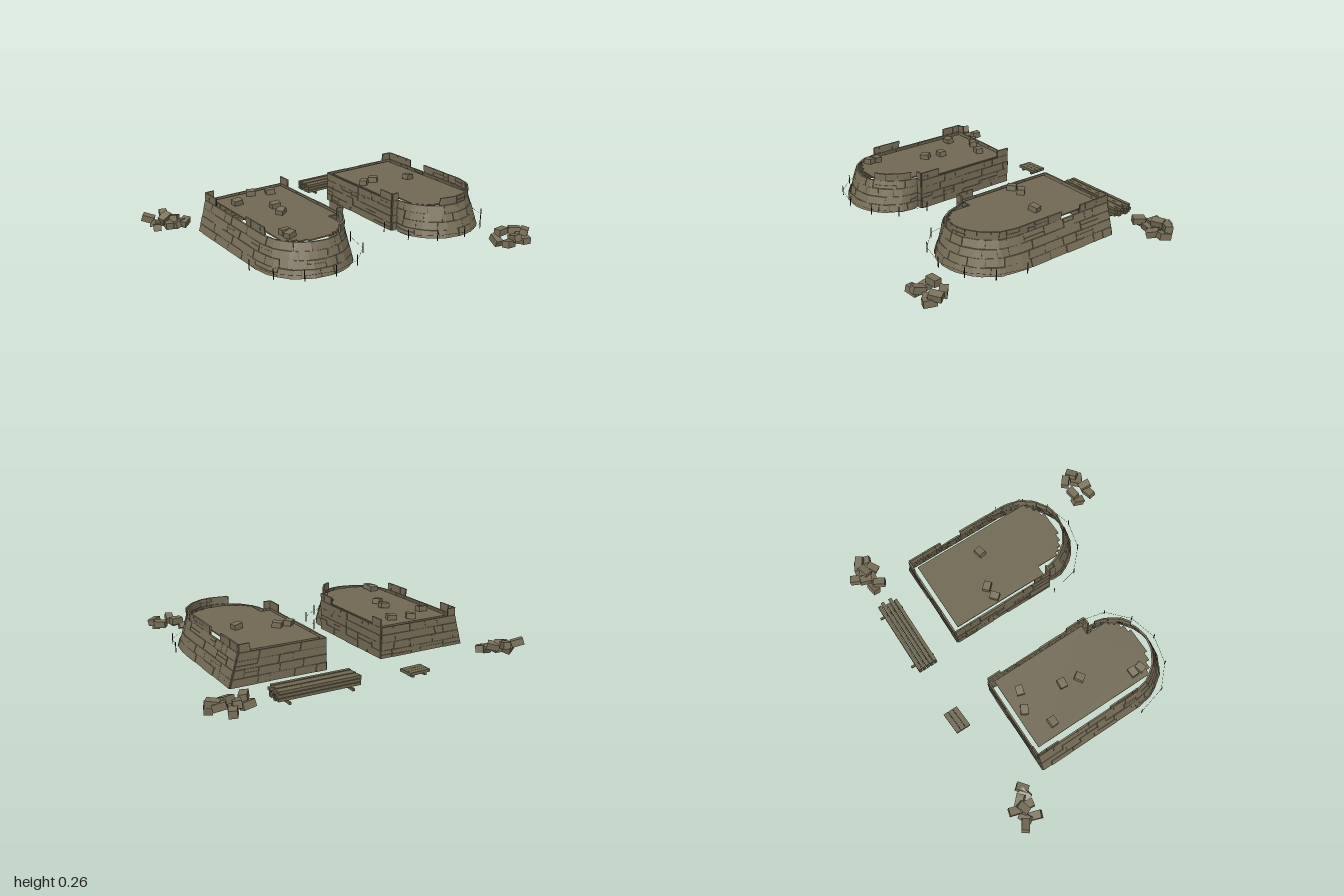
import * as THREE from 'three';
import { mergeGeometries } from 'three/addons/utils/BufferGeometryUtils.js';

const mat = (name, color) => new THREE.MeshStandardMaterial({ name, color });
const stone = mat('stone', 0x7a705a);
const floorStone = mat('floorStone', 0x726a55);
const mortar = mat('mortar', 0x342f26);
const wood = mat('wood', 0x6f6751);
const stakeWood = mat('stakeWood', 0x2a261f);

let seed = 7;
const rnd = () => (seed = (seed * 16807) % 2147483647) / 2147483647;

const Y0 = 0.022, ROW = 0.0466, ROWS = 5;

// Wall runs of one tower, each point being [baseX, baseZ, topX, topZ]
const RUNS = {
  outerWall: [
    [-0.755, -0.47, -0.70, -0.47], [-0.755, 0.2, -0.70, 0.2], [-0.735, 0.32, -0.68, 0.30],
    [-0.66, 0.43, -0.62, 0.38], [-0.56, 0.487, -0.54, 0.43], [-0.46, 0.503, -0.46, 0.445],
    [-0.36, 0.483, -0.38, 0.43], [-0.27, 0.42, -0.30, 0.375], [-0.21, 0.32, -0.25, 0.3],
    [-0.205, 0.26, -0.235, 0.25], [-0.22, 0.2, -0.225, 0.2]],
  stepWall: [[-0.225, 0.2, -0.225, 0.2], [-0.18, 0.2, -0.18, 0.2]],
  innerWall: [[-0.18, 0.2, -0.18, 0.2], [-0.18, -0.47, -0.18, -0.47]],
  backWall: [[-0.18, -0.47, -0.18, -0.47], [-0.755, -0.47, -0.70, -0.47]],
};

// Surviving pieces of the broken top course: [xMin, xMax, zMin, zMax]
const PARAPET = {
  1: [[-0.73, -0.66, -0.47, -0.32], [-0.73, -0.68, 0.02, 0.2], [-0.35, -0.23, 0.28, 0.46],
    [-0.23, -0.17, 0.19, 0.21], [-0.19, -0.17, 0.08, 0.2], [-0.19, -0.17, -0.47, -0.38]],
  [-1]: [[0.66, 0.76, -0.11, 0.32], [0.38, 0.76, 0.28, 0.5], [0.66, 0.76, -0.48, -0.24],
    [0.17, 0.23, 0.19, 0.21], [0.17, 0.19, 0.06, 0.2], [0.62, 0.72, -0.48, -0.46]],
};

// Bends a box onto the wall surface between u0..u1 and v0..v1, its ends leaning by s0 and s1
function wallBlock(at, side, u0, u1, v0, v1, out, inn, s0 = 0, s1 = 0) {
  const g = new THREE.BoxGeometry(1, 1, 1, 3, 1, 1).toNonIndexed();
  const p = g.attributes.position;
  for (let i = 0; i < p.count; i++) {
    const a = u0 + s0 * p.getY(i), b = u1 + s1 * p.getY(i);
    const v = v0 + (0.5 + p.getY(i)) * (v1 - v0);
    const s = at(a + (0.5 + side * p.getX(i)) * (b - a), v);
    const off = p.getZ(i) > 0 ? out : -inn;
    p.setXYZ(i, side * (s.x + s.nx * off), Y0 + v * ROW * ROWS, s.z + s.nz * off);
  }
  g.computeVertexNormals();
  return g;
}

function buildWall(name, pts, side) {
  const cum = [0];
  for (let i = 1; i < pts.length; i++)
    cum.push(cum[i - 1] + Math.hypot(pts[i][0] - pts[i - 1][0], pts[i][1] - pts[i - 1][1]));
  const total = cum[cum.length - 1];
  // Point and outward direction; the wall leans up to the fourth course, then stands upright
  const at = (u, v) => {
    let i = 1;
    while (i < pts.length - 1 && u > cum[i]) i++;
    const a = pts[i - 1], b = pts[i], t = (u - cum[i - 1]) / (cum[i] - cum[i - 1]);
    const L = k => a[k] + (b[k] - a[k]) * t, lean = Math.min(v / 0.8, 1);
    const dx = b[0] - a[0], dz = b[1] - a[1], d = Math.hypot(dx, dz);
    return { x: L(0) + (L(2) - L(0)) * lean, z: L(1) + (L(3) - L(1)) * lean, nx: -dz / d, nz: dx / d };
  };
  const gap = 0.0011, gv = 0.001 / (ROW * ROWS);
  const blocks = [], joints = [];
  for (let r = 0; r < ROWS; r++) {
    const v0 = r / ROWS, v1 = (r + 1) / ROWS;
    let u = 0, s0 = 0;
    while (u < total - 1e-4) {
      let e = u + (r === ROWS - 1 ? 0.04 + rnd() * 0.06 : 0.06 + rnd() * 0.12);
      if (total - e < 0.04) e = total;
      const s1 = e === total ? 0 : (rnd() - 0.5) * 0.014;
      const m = at((u + e) / 2, 0.9), x = m.x * side;
      if (r < ROWS - 1 || PARAPET[side].some(b => x > b[0] && x < b[1] && m.z > b[2] - 1e-3 && m.z < b[3])) {
        // Some stones are two thin ones laid on each other
        const cuts = rnd() < 0.15 ? [v0, v0 + (0.4 + rnd() * 0.2) / ROWS, v1] : [v0, v1];
        for (let c = 1; c < cuts.length; c++)
          blocks.push(wallBlock(at, side, u + gap, e - gap, cuts[c - 1] + gv, cuts[c] - gv,
            0.003 + rnd() * 0.005, 0.004, s0, s1));
        joints.push(wallBlock(at, side, u + gap, e + (e < total ? gap : -gap), v0, v1 - 2 * gv, 0.001, 0.001));
      }
      u = e;
      s0 = s1;
    }
  }
  const g = new THREE.Group();
  g.name = name;
  [[blocks, stone, 'Blocks'], [joints, mortar, 'Joints']].forEach(([list, m, n]) => {
    const mesh = new THREE.Mesh(mergeGeometries(list), m);
    mesh.name = name + n;
    g.add(mesh);
  });
  return g;
}

function box(parent, name, m, size, pos, rot = [0, 0, 0]) {
  const mesh = new THREE.Mesh(new THREE.BoxGeometry(...size), m);
  mesh.name = name;
  mesh.position.set(...pos);
  mesh.rotation.set(...rot);
  parent.add(mesh);
}

// Floor slab with stepped corners at the rounded end
function buildFloor(side) {
  const pts = [[-0.2, -0.44], [-0.2, 0.17], [-0.26, 0.17], [-0.26, 0.31], [-0.28, 0.31], [-0.28, 0.335],
    [-0.30, 0.335], [-0.30, 0.36], [-0.335, 0.36], [-0.335, 0.38], [-0.38, 0.38], [-0.38, 0.4], [-0.54, 0.4],
    [-0.54, 0.38], [-0.59, 0.38], [-0.59, 0.355], [-0.63, 0.355], [-0.63, 0.33], [-0.66, 0.33], [-0.66, -0.44]];
  const shape = new THREE.Shape(pts.map(([x, z]) => new THREE.Vector2(x * side, -z)));
  const g = new THREE.ExtrudeGeometry(shape, { depth: 0.008, bevelEnabled: false });
  g.rotateX(-Math.PI / 2);
  const mesh = new THREE.Mesh(g, floorStone);
  mesh.name = 'floor';
  mesh.position.y = 0.197;
  return mesh;
}

// Stakes joined by a cord around the rounded end
function buildFence(side) {
  const g = new THREE.Group();
  g.name = 'stakeLine';
  const pts = [[-0.795, 0.2], [-0.75, 0.375], [-0.63, 0.49], [-0.46, 0.535], [-0.29, 0.49], [-0.165, 0.375], [-0.125, 0.2]]
    .map(([x, z]) => new THREE.Vector3(x * side, 0.056, z));
  pts.forEach((p, i) => {
    box(g, 'stake', stakeWood, [0.004, 0.064, 0.004], [p.x, 0.057, p.z]);
    if (!i) return;
    const cord = new THREE.Mesh(new THREE.TubeGeometry(new THREE.LineCurve3(pts[i - 1], p), 1, 0.0008, 4), stakeWood);
    cord.name = 'cord';
    g.add(cord);
  });
  return g;
}

// Loose blocks given as [x, y, z, turn]
function buildRubble(name, list, size, tilt) {
  const g = new THREE.Group();
  g.name = name;
  list.forEach(([x, y, z, a]) => box(g, 'looseBlock', stone, size, [x, y, z],
    [(rnd() - 0.5) * tilt, a, (rnd() - 0.5) * tilt]));
  return g;
}

export function createModel() {
  const model = new THREE.Group();
  model.name = 'ruinedGateTowers';

  for (const side of [1, -1]) {
    const tower = new THREE.Group();
    tower.name = side > 0 ? 'rightTower' : 'leftTower';
    for (const [name, pts] of Object.entries(RUNS)) tower.add(buildWall(name, pts, side));
    tower.add(buildFloor(side), buildFence(side));
    model.add(tower);
  }

  // Fallen blocks on the floors
  model.add(buildRubble('floorBlocks', [
    [-0.44, 0.222, -0.39, -0.5], [-0.33, 0.22, -0.35, -0.3], [-0.585, 0.222, -0.295, 0.05], [-0.43, 0.222, -0.125, -0.1],
    [-0.455, 0.22, -0.02, 0.6], [-0.6, 0.222, 0.255, 0], [-0.6, 0.222, 0.305, 0.3],
    [0.24, 0.22, -0.155, 0.7], [0.315, 0.222, -0.16, -0.8], [0.53, 0.222, -0.075, 0.2]], [0.055, 0.032, 0.044], 0.3));

  // Rubble heaps
  const brick = [0.072, 0.04, 0.046];
  model.add(buildRubble('backRightRubble', [
    [-0.965, 0.07, -0.73, -0.6], [-0.945, 0.03, -0.65, 1.2], [-0.925, 0.035, -0.705, 0.5], [-0.865, 0.07, -0.735, 1.3],
    [-0.87, 0.03, -0.655, 1.4], [-0.83, 0.055, -0.68, -0.8], [-0.81, 0.03, -0.635, 0.2], [-0.775, 0.035, -0.63, 0.7],
    [-0.875, 0.065, -0.69, 0.4]], brick, 0.6));
  model.add(buildRubble('backLeftRubble', [
    [0.875, 0.035, -0.785, 1.1], [0.835, 0.055, -0.735, 1.3], [0.77, 0.03, -0.72, 0.1], [0.77, 0.06, -0.675, 1.0],
    [0.88, 0.075, -0.715, 0.3], [0.925, 0.06, -0.735, -0.4], [0.96, 0.035, -0.68, 1.2], [0.895, 0.03, -0.66, 0.6],
    [0.95, 0.07, -0.715, -0.6], [0.83, 0.03, -0.695, -0.2]], brick, 0.6));
  model.add(buildRubble('frontRubble', [
    [0.57, 0.03, 0.685, 1.4], [0.615, 0.07, 0.675, 0.1], [0.58, 0.035, 0.775, 0.2], [0.625, 0.06, 0.775, 1.4],
    [0.715, 0.06, 0.685, -0.7], [0.69, 0.035, 0.75, 0.9], [0.735, 0.065, 0.745, 0.6], [0.715, 0.03, 0.77, 1.2]], brick, 0.6));

  // Long plank stack on two bearers
  const stack = new THREE.Group();
  stack.name = 'plankStack';
  for (const x of [0.2, 0.57]) box(stack, 'bearer', wood, [0.012, 0.014, 0.155], [x, 0.018, -0.712]);
  for (let layer = 0; layer < 3; layer++)
    for (let i = 0; i < 5; i++) {
      const len = 0.465 + rnd() * 0.035;
      box(stack, 'plank', wood, [len, 0.016, 0.021],
        [0.14 + len / 2, 0.034 + layer * 0.019 - (i % 2) * 0.002, -0.652 - i * 0.0255]);
    }
  model.add(stack);

  // Short plank pile
  const pile = new THREE.Group();
  pile.name = 'shortPlanks';
  for (let i = 0; i < 3; i++)
    box(pile, 'shortPlank', wood, [0.138, 0.017, 0.029], [-0.23, 0.03, -0.7 - i * 0.031], [0, 0.06, 0]);
  for (const x of [-0.27, -0.19]) box(pile, 'bearer', wood, [0.012, 0.014, 0.085], [x, 0.014, -0.73]);
  model.add(pile);

  return model;
}
